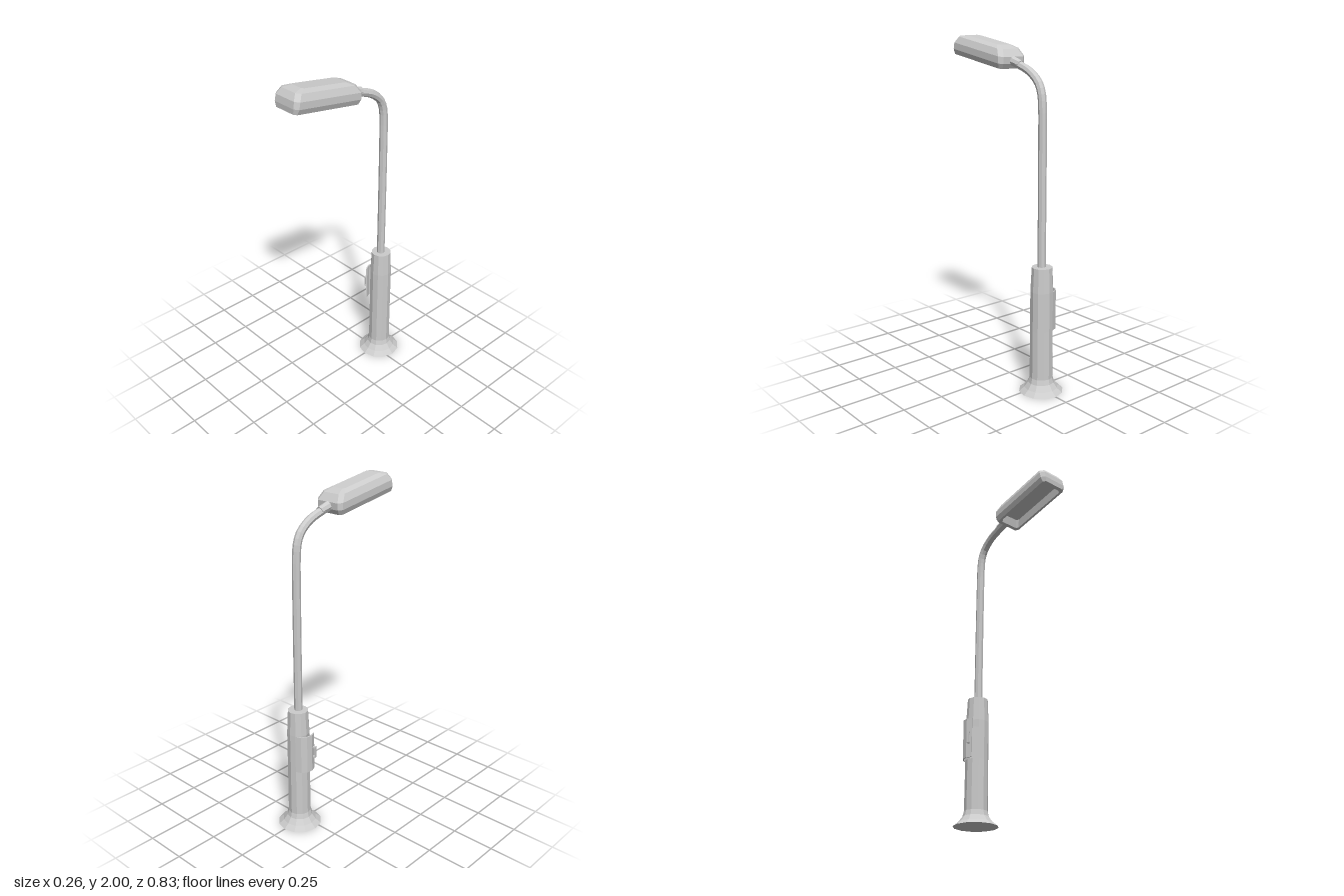
import * as THREE from 'three';

const grey = new THREE.MeshStandardMaterial({ color: 0xcccccc, flatShading: true, side: THREE.DoubleSide });
const rad = THREE.MathUtils.degToRad;
const V = (x, y, z) => new THREE.Vector3(x, y, z);

function add(parent, name, geometry, x = 0, y = 0, z = 0) {
  const mesh = new THREE.Mesh(geometry, grey);
  mesh.name = name;
  mesh.position.set(x, y, z);
  parent.add(mesh);
  return mesh;
}

function lathe(profile, sides = 12, start = 0, sweep = 360) {
  return new THREE.LatheGeometry(profile.map(p => new THREE.Vector2(...p)), sides, rad(start), rad(sweep));
}

// Chamfered rectangle in plan; height h is measured above the sloping underside
function headRing([h, w, back, front, c]) {
  const plan = [
    [-w + c, front], [w - c, front], [w, front - c], [w, back + c],
    [w - c, back], [-w + c, back], [-w, back + c], [-w, front - c],
  ];
  return plan.map(([x, z]) => [x, 1.823 + 0.157 * (z + 0.02) + h, z]);
}

// Skin between successive rings, closed at both ends
function loft(rings) {
  const n = rings[0].length, index = [];
  for (let i = 0; i < rings.length - 1; i++) {
    for (let j = 0; j < n; j++) {
      const a = i * n + j, b = i * n + (j + 1) % n;
      index.push(a, b, b + n, a, b + n, a + n);
    }
  }
  const last = (rings.length - 1) * n;
  for (let j = 1; j < n - 1; j++) {
    index.push(0, j + 1, j, last, last + j, last + j + 1);
  }
  const g = new THREE.BufferGeometry();
  g.setAttribute('position', new THREE.Float32BufferAttribute(rings.flat(2), 3));
  g.setIndex(index);
  g.computeVertexNormals();
  return g;
}

export function createModel() {
  const model = new THREE.Group();
  model.name = 'streetLamp';

  // Column: flared foot, middle with an access opening on the -x side, tapered top
  const column = new THREE.Group();
  column.name = 'column';
  column.position.z = -0.288;
  model.add(column);
  const R = 0.066, doorLow = 0.375, doorHigh = 0.605;
  add(column, 'columnFoot', lathe([[0, 0], [0.128, 0], [0.098, 0.024], [0.075, 0.055], [0.067, 0.085], [R, doorLow]]));
  add(column, 'columnMiddle', lathe([[R, doorLow], [R, doorHigh]], 8, -30, 240));
  add(column, 'columnTop', lathe([[R, doorHigh], [0.059, 0.745], [0, 0.745]]));

  // Access door: a curved plate ajar on its rear hinge
  const hinge = V(R * Math.sin(rad(-150)), 0, R * Math.cos(rad(-150)));
  const door = new THREE.Group();
  door.name = 'accessDoor';
  door.position.copy(hinge);
  door.rotation.y = rad(-22);
  column.add(door);
  const arc = r => [-150, -120, -90, -60, -30].map(a =>
    new THREE.Vector2(r * Math.sin(rad(a)) - hinge.x, -(r * Math.cos(rad(a)) - hinge.z)));
  const plate = new THREE.ExtrudeGeometry(
    new THREE.Shape([...arc(R + 0.002), ...arc(R - 0.005).reverse()]),
    { depth: doorHigh - doorLow, bevelEnabled: false });
  plate.rotateX(-Math.PI / 2);
  add(door, 'doorPlate', plate, 0, doorLow, 0);

  // Door handle: a bar on two posts
  const handle = new THREE.Group();
  handle.name = 'doorHandle';
  handle.position.set(-hinge.x, 0.49, -hinge.z);
  handle.rotation.y = rad(-45);
  door.add(handle);
  add(handle, 'handleBar', new THREE.BoxGeometry(0.014, 0.07, 0.006), 0, 0, 0.079);
  for (const s of [-1, 1]) {
    add(handle, 'handlePost', new THREE.BoxGeometry(0.014, 0.008, 0.016), 0, s * 0.031, 0.071);
  }

  // Pole bending forward into the lamp head
  const path = new THREE.CatmullRomCurve3([
    V(0, 0.74, -0.284), V(0, 1.2, -0.283), V(0, 1.5, -0.281), V(0, 1.62, -0.279), V(0, 1.705, -0.27),
    V(0, 1.76, -0.245), V(0, 1.812, -0.18), V(0, 1.842, -0.1), V(0, 1.863, -0.02),
  ]);
  add(model, 'pole', new THREE.TubeGeometry(path, 40, 0.0235, 8));
  const collar = add(model, 'poleCollar', new THREE.CylinderGeometry(0.028, 0.024, 0.08, 8), 0, 1.858, -0.06);
  collar.rotation.x = rad(76);

  // Lamp head, hollow below: recess ceiling, rim, sides, rounded top
  add(model, 'lampHead', loft([
    [0.05, 0.06, 0.01, 0.385, 0.012],
    [0.0, 0.066, 0.0, 0.395, 0.012],
    [0.0, 0.08, -0.02, 0.415, 0.015],
    [0.03, 0.092, -0.036, 0.417, 0.02],
    [0.068, 0.092, -0.038, 0.411, 0.022],
    [0.105, 0.075, -0.008, 0.388, 0.022],
    [0.119, 0.045, 0.04, 0.335, 0.012],
  ].map(headRing)));

  return model;
}
